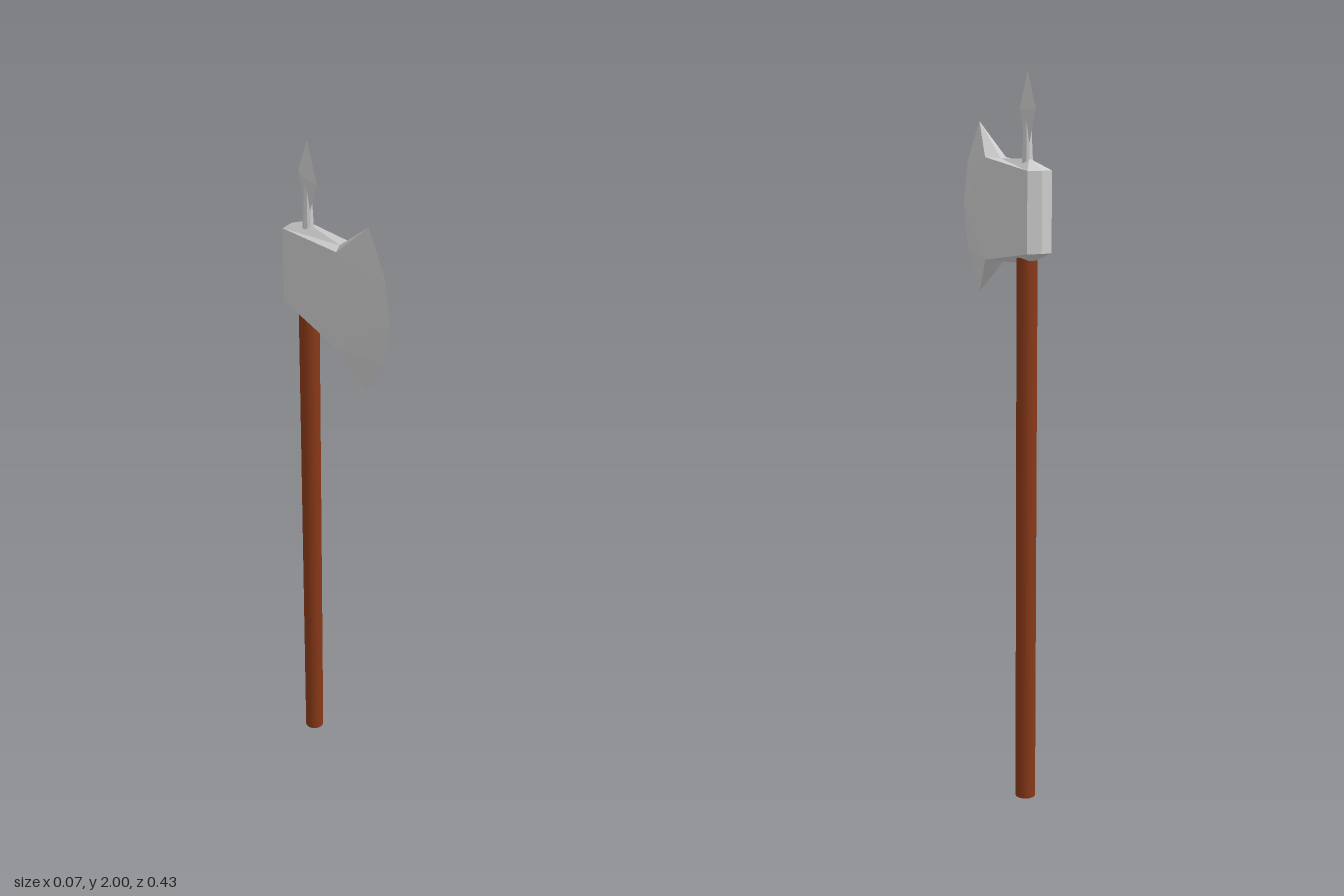
import * as THREE from 'three';

const SHAFT_Z = -0.14;

// Faceted axe head: a centre-line outline sewn to a raised cheek plate on each side
function axeHeadGeometry() {
  // cheek corners (x, y, z): back top, front top, front bottom, back bottom
  const cheek = [[0.037, 1.745, -0.203], [0.032, 1.775, 0.03], [0.032, 1.5, 0.03], [0.037, 1.532, -0.203]];
  // outline (y, z, index of the cheek corner it is sewn to)
  const outline = [
    [1.745, -0.215, 0], [1.775, -0.15, 0], [1.772, 0, 1],
    [1.87, 0.12, 1], [1.76, 0.19, 1], [1.64, 0.212, 1],
    [1.64, 0.212, 2], [1.52, 0.19, 2], [1.405, 0.12, 2],
    [1.508, 0, 2], [1.502, -0.15, 3], [1.532, -0.215, 3],
  ];
  const pos = [];
  for (const side of [1, -1]) {
    const tri = (a, b, c) => {
      for (const p of side > 0 ? [a, b, c] : [a, c, b]) pos.push(p[0] * side, p[1], p[2]);
    };
    tri(cheek[0], cheek[1], cheek[2]);
    tri(cheek[0], cheek[2], cheek[3]);
    outline.forEach(([y, z, i], n) => {
      const [y2, z2, j] = outline[(n + 1) % outline.length];
      const p = [0, y, z], q = [0, y2, z2];
      if (y !== y2 || z !== z2) tri(p, q, cheek[i]);
      if (i !== j) tri(cheek[i], q, cheek[j]);
    });
  }
  const geo = new THREE.BufferGeometry();
  geo.setAttribute('position', new THREE.Float32BufferAttribute(pos, 3));
  geo.computeVertexNormals();
  return geo;
}

export function createModel() {
  const model = new THREE.Group();
  const steel = new THREE.MeshStandardMaterial({ color: 0xcccccc, flatShading: true });
  const wood = new THREE.MeshStandardMaterial({ color: 0x883817 });

  const add = (name, geo, mat, y = 0, z = 0, parent = model) => {
    const mesh = new THREE.Mesh(geo, mat);
    mesh.name = name;
    mesh.position.set(0, y, z);
    parent.add(mesh);
    return mesh;
  };

  // Wooden shaft, ending inside the head
  add('shaft', new THREE.CylinderGeometry(0.028, 0.028, 1.56, 16), wood, 0.78, SHAFT_Z);

  add('axeHead', axeHeadGeometry(), steel);

  // Spike: tapered stem with a thin leaf-shaped point
  const spike = new THREE.Group();
  spike.name = 'spike';
  spike.position.z = SHAFT_Z;
  spike.rotation.y = -0.1;
  model.add(spike);
  add('spikeStem', new THREE.CylinderGeometry(0.009, 0.015, 0.13, 10), steel, 1.825, 0, spike);
  const leaf = new THREE.CylinderGeometry(0, 0.05, 0.1, 4, 1, true);
  const leafBase = new THREE.CylinderGeometry(0.05, 0.011, 0.09, 4, 1, true);
  add('spikePoint', leaf, steel, 1.95, 0, spike).scale.x = 0.22;
  add('spikeBase', leafBase, steel, 1.855, 0, spike).scale.x = 0.22;

  return model;
}
